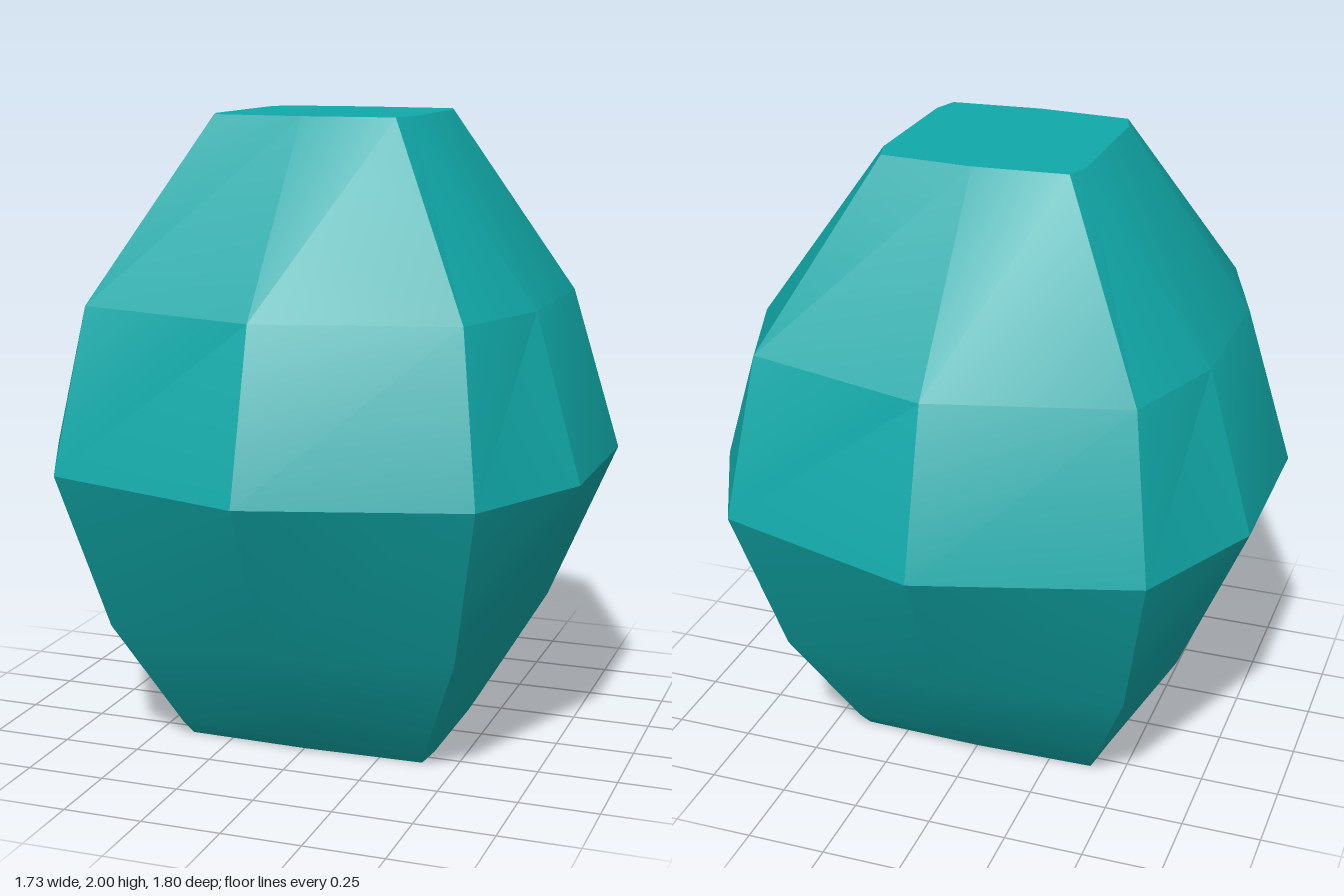
import * as THREE from 'three';
import { toCreasedNormals } from 'three/addons/utils/BufferGeometryUtils.js';

// Each ring: height, z of the middle ridge, corner (x, z), side edge (x, z)
const RINGS = [
  [0.0, 0.31, 0.39, 0.30, 0.40, 0.20],
  [0.05, 0.36, 0.41, 0.34, 0.43, 0.22],
  [0.42, 0.63, 0.56, 0.54, 0.65, 0.25],
  [0.93, 0.90, 0.66, 0.70, 0.865, 0.28],
  [1.44, 0.76, 0.59, 0.60, 0.715, 0.25],
  [2.0, 0.32, 0.29, 0.30, 0.315, 0.22],
];

// Ten points, from the front ridge round by +x
function ringPoints([y, m, cx, cz, sx, sz]) {
  return [
    [0, m], [cx, cz], [sx, sz], [sx, -sz], [cx, -cz],
    [0, -m], [-cx, -cz], [-sx, -sz], [-sx, sz], [-cx, cz],
  ].map(([x, z]) => [x, y, z]);
}

function stoneGeometry() {
  const rings = RINGS.map(ringPoints);
  const n = rings[0].length;
  const top = rings[rings.length - 1];
  const positions = [];
  const tri = (a, b, c) => positions.push(...a, ...b, ...c);

  for (let i = 0; i < n; i++) {
    const j = (i + 1) % n;
    // Bands of facets
    for (let r = 0; r < rings.length - 1; r++) {
      const lo = rings[r], hi = rings[r + 1];
      tri(lo[i], lo[j], hi[j]);
      tri(lo[i], hi[j], hi[i]);
    }
    // Flat ends
    tri([0, 0, 0], rings[0][j], rings[0][i]);
    tri([0, 2, 0], top[i], top[j]);
  }

  const geometry = new THREE.BufferGeometry();
  geometry.setAttribute('position', new THREE.Float32BufferAttribute(positions, 3));
  return toCreasedNormals(geometry, 0.4);
}

export function createModel() {
  const teal = new THREE.MeshStandardMaterial({ color: 0x11a8a8 });
  teal.name = 'teal';

  const stone = new THREE.Mesh(stoneGeometry(), teal);
  stone.name = 'facetedStone';

  const model = new THREE.Group();
  model.name = 'gemstone';
  model.add(stone);
  return model;
}
